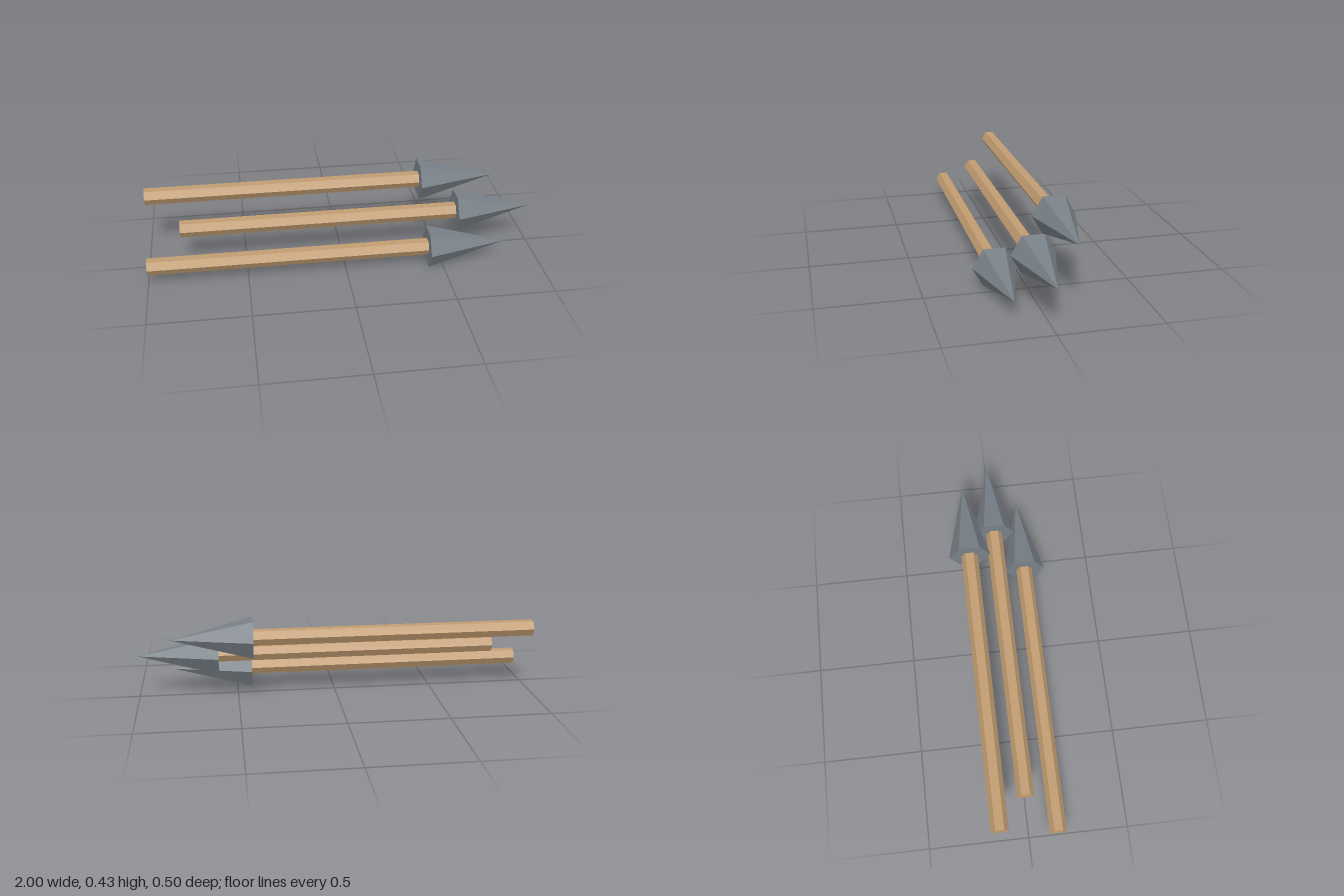
import * as THREE from 'three';

export function createModel() {
  const model = new THREE.Group();
  model.name = 'arrows';

  const wood = new THREE.MeshStandardMaterial({ color: 0xc19c70 });
  wood.name = 'wood';
  const steel = new THREE.MeshStandardMaterial({ color: 0x788087 });
  steel.name = 'steel';

  const SHAFT = 1.425, HEAD = 0.404, HEAD_R = 0.1075;

  // Six-sided shapes lying along +x; toNonIndexed keeps the facets flat
  const faceted = (geometry, x) => {
    const g = geometry.rotateZ(-Math.PI / 2).translate(x, 0, 0).toNonIndexed();
    g.computeVertexNormals();
    return g;
  };
  const shaftGeometry = faceted(new THREE.CylinderGeometry(0.0425, 0.0425, SHAFT, 6), SHAFT / 2);
  const headGeometry = faceted(new THREE.ConeGeometry(HEAD_R, HEAD, 6), SHAFT + HEAD / 2);

  // Three arrows stepped up and back, the middle one pushed forward
  const base = HEAD_R * Math.sqrt(3) / 2;
  [-1, 0, 1].forEach((step) => {
    const arrow = new THREE.Group();
    arrow.name = ['lowerArrow', 'middleArrow', 'upperArrow'][step + 1];
    const shaft = new THREE.Mesh(shaftGeometry, wood);
    shaft.name = 'shaft';
    const head = new THREE.Mesh(headGeometry, steel);
    head.name = 'arrowHead';
    arrow.add(shaft, head);
    arrow.position.set(step === 0 ? -0.829 : -1, base + 0.1207 * (step + 1), -0.1445 * step);
    model.add(arrow);
  });

  return model;
}
